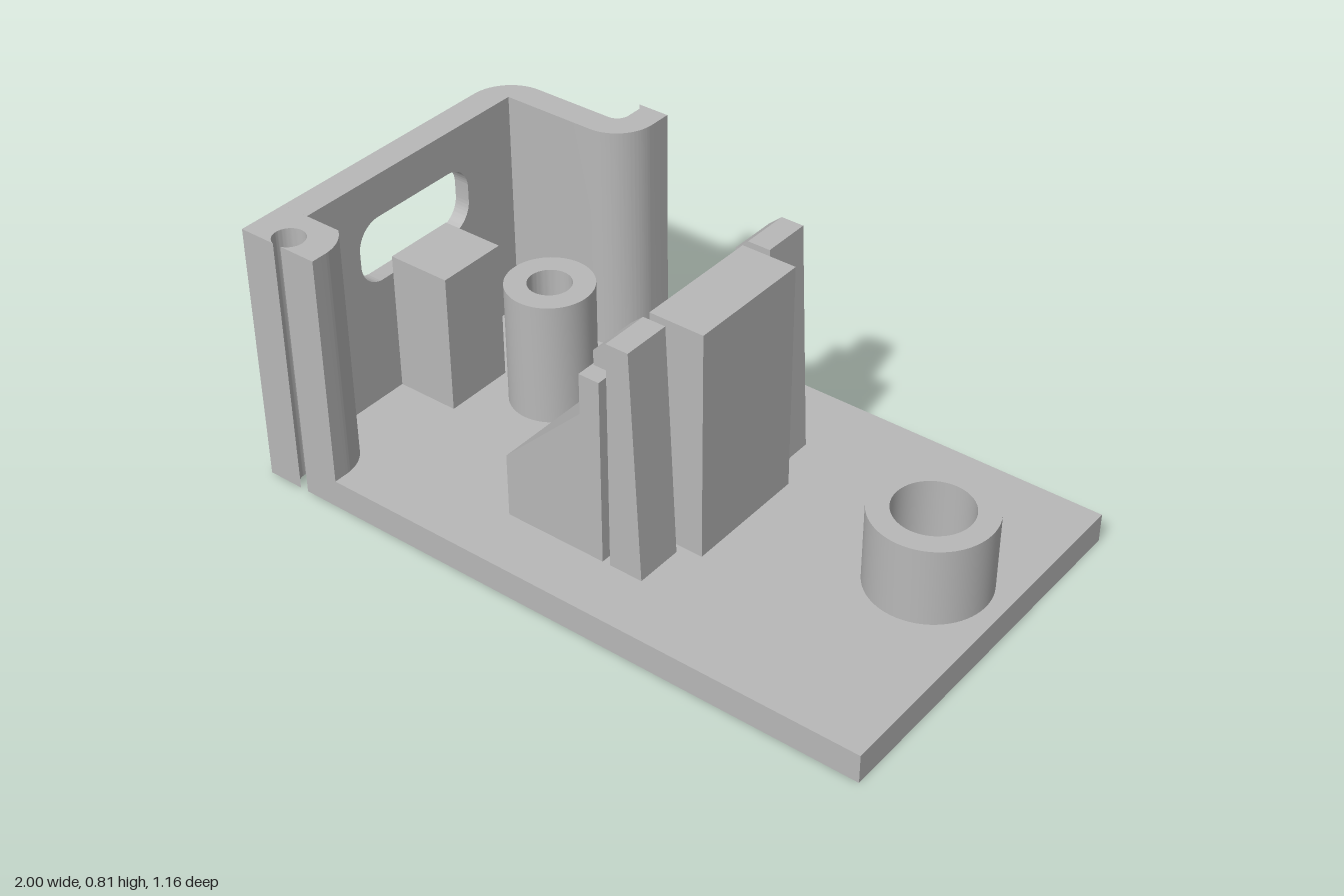
import * as THREE from 'three';
import { toCreasedNormals } from 'three/addons/utils/BufferGeometryUtils.js';

const PI = Math.PI;
const FLOOR = 0.09, WALL_TOP = 0.81;

export function createModel() {
  const group = new THREE.Group();
  const grey = new THREE.MeshStandardMaterial({ color: 0xb8b8b8 });
  grey.name = 'grey';

  const add = (name, geo) => {
    const mesh = new THREE.Mesh(toCreasedNormals(geo, 0.5), grey);
    mesh.name = name;
    group.add(mesh);
  };
  const extrude = (shape, depth) =>
    new THREE.ExtrudeGeometry(shape, { depth, bevelEnabled: false, curveSegments: 32 });
  // Plan shape in (x, z), raised from y0 to y1
  const addPlan = (name, shape, y0, y1) =>
    add(name, extrude(shape, y1 - y0).rotateX(PI / 2).translate(0, y1, 0));
  // Side shape in (x, y), running from z0 to z1
  const addProfile = (name, points, z0, z1) => {
    const shape = new THREE.Shape(points.map(([x, y]) => new THREE.Vector2(x, y)));
    add(name, extrude(shape, z1 - z0).translate(0, 0, z0));
  };
  const box = (x0, x1, y0, y1) => [[x0, y0], [x1, y0], [x1, y1], [x0, y1]];
  const circle = (x, z, r, Kind = THREE.Path) => new Kind().absarc(x, z, r, 0, PI * 2, false);

  // Stepped, rounded back corner shared by the base and the wall
  const backCorner = s => {
    s.lineTo(-0.585, -0.58);
    s.lineTo(-0.57, -0.56);
    s.lineTo(-0.57, -0.51);
    s.absarc(-0.61, -0.51, 0.04, 0, PI / 2, false);
    s.lineTo(-0.87, -0.47);
    s.absarc(-0.87, -0.34, 0.13, -PI / 2, -PI, true);
  };
  // Pin hole breaking through the front edge
  const frontSlot = s => {
    s.lineTo(-1, 0.58);
    s.absarc(-0.872, 0.535, 0.047, 1.864, 2 * PI + 1.277, false);
  };

  // Base plate with screw holes
  const base = new THREE.Shape();
  base.moveTo(1, 0.58);
  base.lineTo(1, -0.58);
  backCorner(base);
  frontSlot(base);
  base.lineTo(-0.858, 0.58);
  base.holes.push(circle(-0.525, -0.095, 0.065), circle(0.775, -0.065, 0.113), circle(0.02, -0.065, 0.043));
  addPlan('basePlate', base, 0, FLOOR);

  // Back corner wall
  const corner = new THREE.Shape();
  corner.moveTo(-0.485, -0.58);
  backCorner(corner);
  corner.lineTo(-0.91, -0.34);
  corner.lineTo(-0.91, -0.385);
  corner.lineTo(-0.61, -0.385);
  corner.absarc(-0.61, -0.51, 0.125, PI / 2, 0, true);
  addPlan('cornerWall', corner, FLOOR, WALL_TOP);

  // Front corner post
  const post = new THREE.Shape();
  post.moveTo(-1, 0.43);
  frontSlot(post);
  post.lineTo(-0.858, 0.58);
  post.lineTo(-0.742, 0.58);
  post.absarc(-0.872, 0.535, 0.13, 0, -0.938, true);
  addPlan('cornerPost', post, FLOOR, WALL_TOP);

  // End wall in two layers: wide recess outside, smaller window inside
  const roundedHole = (z0, z1, y0, y1, r) => {
    const p = new THREE.Path();
    p.absarc(z1 - r, y1 - r, r, 0, PI / 2, false);
    p.absarc(z0 + r, y1 - r, r, PI / 2, PI, false);
    p.absarc(z0 + r, y0 + r, r, PI, 1.5 * PI, false);
    p.absarc(z1 - r, y0 + r, r, 1.5 * PI, 2 * PI, false);
    p.closePath();
    return p;
  };
  const addPanel = (name, x0, x1, hole) => {
    const s = new THREE.Shape(box(-0.34, 0.43, FLOOR, WALL_TOP).map(([z, y]) => new THREE.Vector2(z, y)));
    s.holes.push(hole);
    // Shape x becomes z after mirroring about the vertical axis by rotation
    add(name, extrude(s, x1 - x0).scale(-1, 1, -1).rotateY(PI / 2).translate(x1, 0, 0));
  };
  addPanel('wallOuterLayer', -1, -0.96, roundedHole(-0.27, 0.325, 0.42, 0.735, 0.13));
  addPanel('wallInnerLayer', -0.96, -0.91, roundedHole(-0.195, 0.25, 0.475, 0.68, 0.08));

  // Support block against the end wall
  addProfile('supportBlock', box(-0.91, -0.71, FLOOR, 0.53), -0.095, 0.13);

  // Hollow bosses
  for (const [name, x, z, R, r, top] of [
    ['tallBoss', -0.525, -0.095, 0.13, 0.065, 0.48],
    ['wideBoss', 0.775, -0.065, 0.176, 0.113, 0.33],
  ]) {
    const ring = circle(x, z, R, THREE.Shape);
    ring.holes.push(circle(x, z, r));
    addPlan(name, ring, FLOOR, top);
  }

  // Central holder: sloped ramp, solid boss, spacer and tall stop
  addProfile('ramp', [[-0.27, FLOOR], [0.055, FLOOR], [0.055, 0.545], [-0.01, 0.545], [-0.27, 0.29]], -0.348, 0.396);
  addPlan('rampBoss', circle(0.02, -0.065, 0.11, THREE.Shape), FLOOR, 0.545);
  addProfile('spacer', box(0.055, 0.08, FLOOR, 0.545), -0.173, 0.221);
  addProfile('tallStop', box(0.08, 0.25, FLOOR, 0.8), -0.173, 0.221);

  // Raised steps and hooked clips on both sides of the stop
  const clip = [[0.08, FLOOR], [0.185, FLOOR], [0.15, 0.8], [0.08, 0.8], [0.04, 0.765], [0.04, 0.72], [0.08, 0.72]];
  for (const [z0, z1] of [[-0.348, -0.197], [0.246, 0.396]]) {
    addProfile('step', box(-0.01, 0.055, 0.545, 0.67), z0, z1);
    addProfile('clip', clip, z0, z1);
  }
  return group;
}
